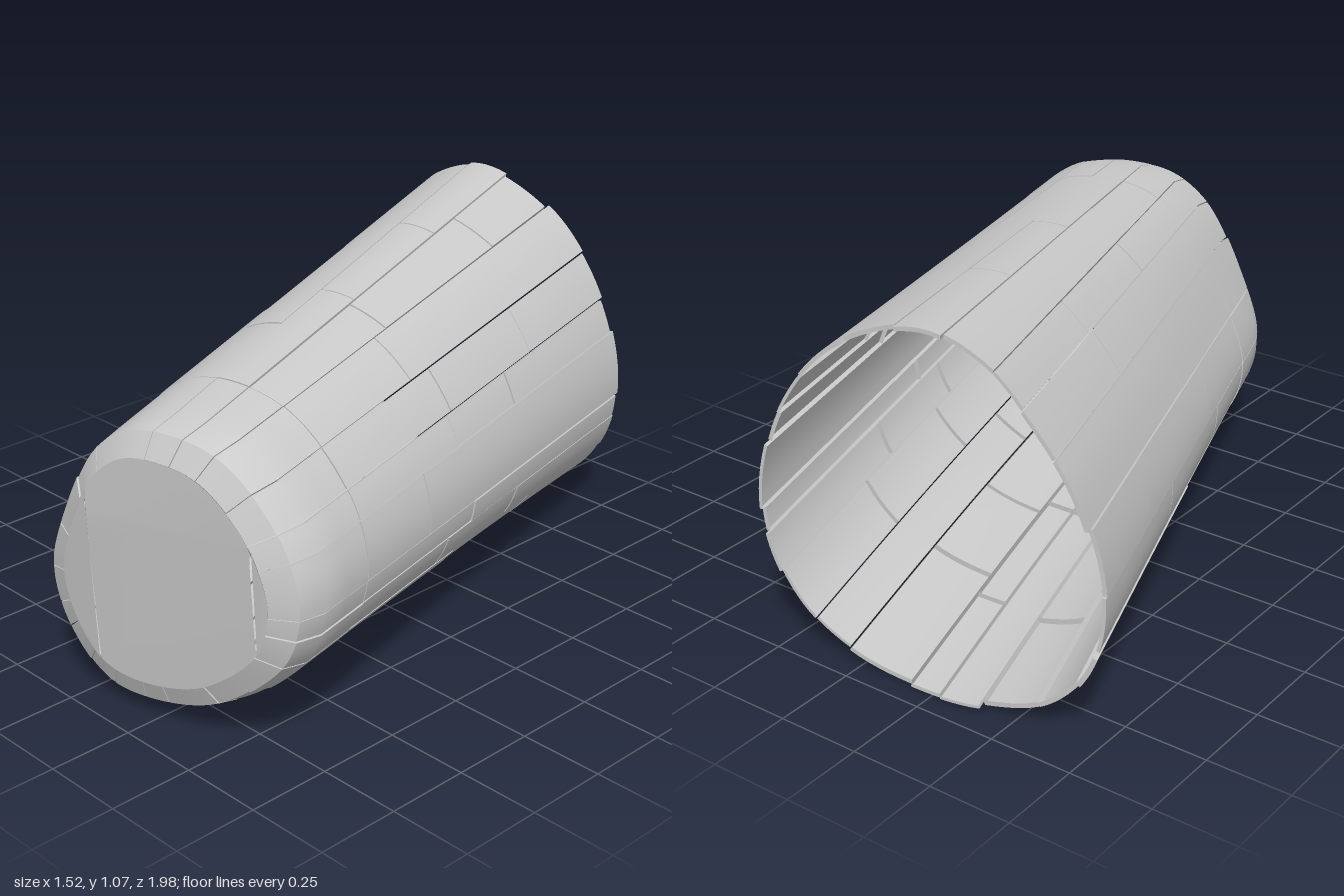
import * as THREE from 'three';
import { toCreasedNormals } from 'three/addons/utils/BufferGeometryUtils.js';

const material = new THREE.MeshStandardMaterial({ color: 0xcccccc, side: THREE.DoubleSide });

// Matching outlines [x, y] of the open back and the closed front, counter-clockwise from the left side
const loop = (pts) => new THREE.CatmullRomCurve3(pts.map(([x, y]) => new THREE.Vector3(x, y, 0)), true);
const back = loop([
  [0.30, 0.45], [0.26, 0.65], [0.15, 0.85], [0, 0.99], [-0.25, 1.075], [-0.43, 1.02], [-0.55, 0.91], [-0.69, 0.72],
  [-0.77, 0.46], [-0.74, 0.25], [-0.60, 0.08], [-0.40, 0.01], [-0.22, 0], [0, 0.035], [0.17, 0.13], [0.27, 0.28]]);
const front = loop([
  [0.77, 0.50], [0.735, 0.65], [0.63, 0.79], [0.50, 0.875], [0.34, 0.895], [0.20, 0.87], [0.08, 0.78], [-0.04, 0.58],
  [-0.125, 0.36], [-0.10, 0.22], [-0.01, 0.10], [0.10, 0.045], [0.26, 0.045], [0.45, 0.10], [0.62, 0.22], [0.73, 0.35]]);
const backCentre = new THREE.Vector3(-0.235, 0.5, -0.935);
const frontCentre = new THREE.Vector3(0.32, 0.46, 0.8);
const RIM = 0.8; // size of the flat end compared with the front outline

let seed = 7;
const random = () => (seed = (seed * 16807) % 2147483647) / 2147483647;

const endZ = (x, y) => 0.985 - 0.17 * Math.max(0, x - 0.09) + 0.06 * Math.min(0, y - 0.6);

// Point of the shell: v 0..1 runs along the body, v 1..1.1 rolls over the front rim
function shellPoint(u, v) {
  const f = front.getPoint(u);
  f.z = 0.93 - 0.17 * (f.x + 0.12);
  if (v > 1) {
    const a = ((v - 1) / 0.1) * Math.PI / 2;
    const k = 1 - (1 - RIM) * (1 - Math.cos(a));
    const x = frontCentre.x + (f.x - frontCentre.x) * k;
    const y = frontCentre.y + (f.y - frontCentre.y) * k;
    return new THREE.Vector3(x, y, f.z + (endZ(x, y) - f.z) * Math.sin(a));
  }
  const b = back.getPoint(u);
  b.z = -0.93 - 0.1 * (b.x + 0.235);
  const p = b.lerp(f, v);
  if (p.y < 0.4) p.y += 0.02 * Math.sin(Math.PI * Math.min(1, Math.max(0, v))) * (1 - p.y / 0.4);
  return p;
}

// One curved plank with a narrow lip folded inwards all round
function plank(u0, u1, v0, v1) {
  const nu = 6, nv = Math.max(4, Math.ceil((v1 - v0) * 14)), lift = random() * 0.005;
  const cols = nu + 3, rows = nv + 3, pos = [], index = [];
  const at = (i, n) => Math.min(1, Math.max(0, (i - 1) / n));
  for (let j = 0; j < rows; j++) {
    for (let i = 0; i < cols; i++) {
      const v = v0 + (v1 - v0) * at(j, nv);
      const p = shellPoint(u0 + (u1 - u0) * at(i, nu), v);
      const inward = backCentre.clone().lerp(frontCentre, Math.min(v, 0.95)).sub(p).normalize();
      const lip = i === 0 || j === 0 || i === cols - 1 || j === rows - 1;
      p.addScaledVector(inward, lip ? 0.014 : lift);
      pos.push(p.x, p.y, p.z);
      if (i < cols - 1 && j < rows - 1) {
        const a = j * cols + i, c = a + cols;
        index.push(a, a + 1, c + 1, a, c + 1, c);
      }
    }
  }
  const g = new THREE.BufferGeometry();
  g.setAttribute('position', new THREE.Float32BufferAttribute(pos, 3));
  g.setIndex(index);
  return toCreasedNormals(g, 0.6);
}

// Flat slice of the closed end between two x limits
function endPanel(x0, x1) {
  const pts = front.getPoints(96).slice(0, -1).map((p) => new THREE.Vector2(
    THREE.MathUtils.clamp(frontCentre.x + (p.x - frontCentre.x) * RIM, x0, x1),
    frontCentre.y + (p.y - frontCentre.y) * RIM));
  const g = new THREE.ShapeGeometry(new THREE.Shape(pts));
  const p = g.attributes.position;
  for (let i = 0; i < p.count; i++) p.setZ(i, endZ(p.getX(i), p.getY(i)));
  g.computeVertexNormals();
  return g;
}

export function createModel() {
  const model = new THREE.Group();
  model.name = 'plankedShell';
  const add = (parent, name, geometry) => {
    const mesh = new THREE.Mesh(geometry, material);
    mesh.name = name;
    parent.add(mesh);
  };

  // Body: uneven strips, each cut into staggered planks, ragged at the open back
  const body = new THREE.Group();
  body.name = 'bodyPlanks';
  model.add(body);
  const strips = 22, gapU = 0.0007, gapV = 0.0012;
  const seams = Array.from({ length: strips }, (_, i) => (i + (random() - 0.5) * 0.5) / strips);
  seams.push(seams[0] + 1);
  for (let s = 0; s < strips; s++) {
    const cuts = [(random() - 0.5) * 0.016, 0.2 + random() * 0.2, 0.5 + random() * 0.2];
    if (s % 3 === 0) cuts.splice(1, 1);
    cuts.push(0.87, 1.1);
    for (let c = 0; c < cuts.length - 1; c++) {
      add(body, 'plank', plank(seams[s] + gapU, seams[s + 1] - gapU, cuts[c] + gapV, cuts[c + 1] - gapV));
    }
  }

  // Closed front end in three flat panels
  const end = new THREE.Group();
  end.name = 'frontEnd';
  model.add(end);
  add(end, 'rightEndPanel', endPanel(-1, 0.087));
  add(end, 'middleEndPanel', endPanel(0.092, 0.632));
  add(end, 'leftEndPanel', endPanel(0.637, 1));
  return model;
}
